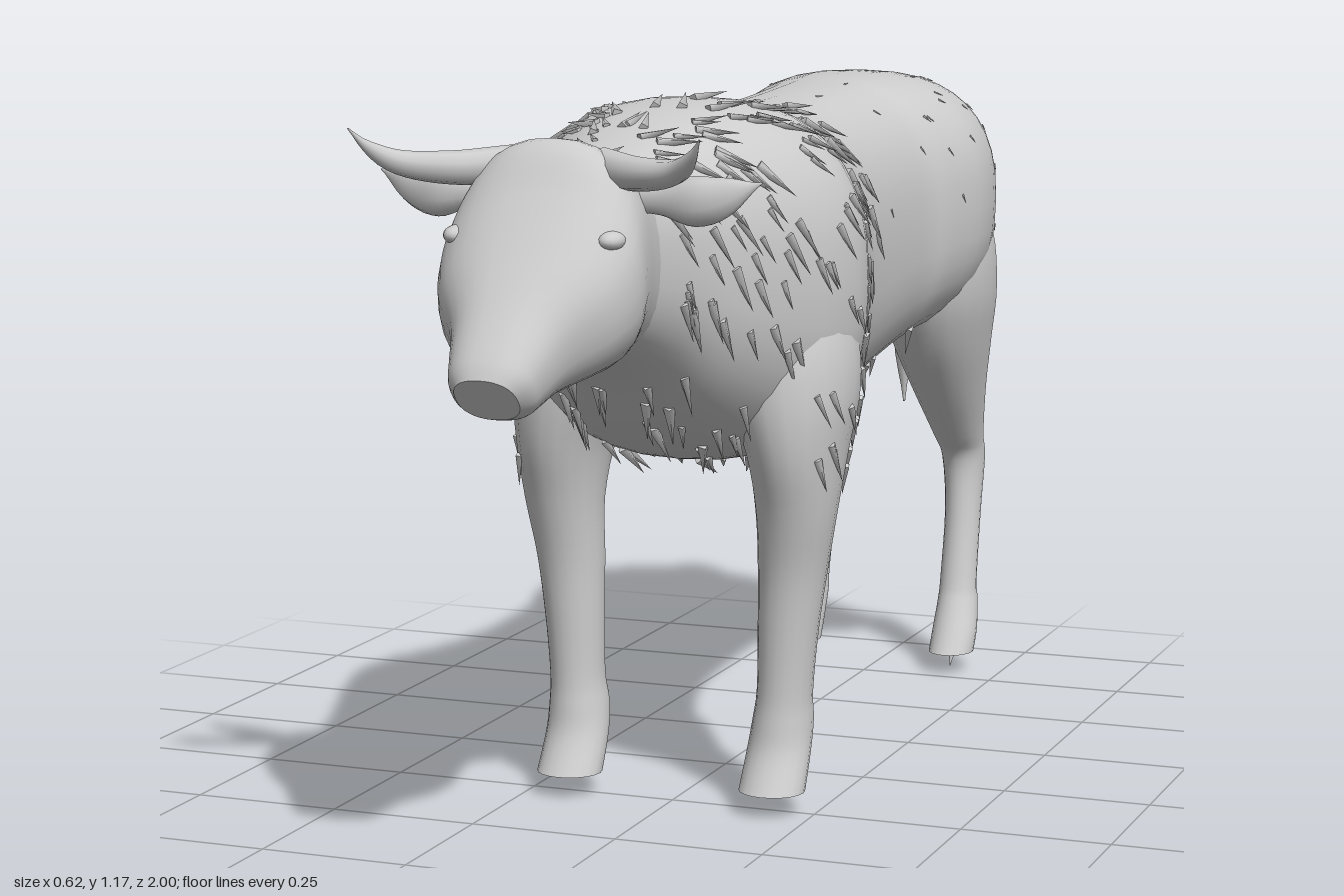
import * as THREE from 'three';
import { mergeGeometries, mergeVertices } from 'three/addons/utils/BufferGeometryUtils.js';

const hide = new THREE.MeshStandardMaterial({ color: 0xcccccc });
hide.name = 'hide grey';

// Smoothly interpolate a list of section rows at t in 0..1
function sample(rows, t) {
  const f = Math.min(Math.max(t, 0), 1) * (rows.length - 1);
  const i = Math.min(Math.floor(f), rows.length - 2), u = f - i;
  const at = k => rows[Math.min(Math.max(k, 0), rows.length - 1)];
  return at(i).map((b, k) => {
    const a = at(i - 1)[k], c = at(i + 1)[k], d = at(i + 2)[k];
    return b + 0.5 * u * (c - a + u * (2 * a - 5 * b + 4 * c - d + u * (3 * (b - c) + d - a)));
  });
}

const bulge = (v, p) => Math.sign(v) * Math.abs(v) ** p;

// Upright section row: [top z, top y, bottom z, bottom y, half width]
const upright = (rows, p) => (t, a) => {
  const [zt, yt, zb, yb, w] = sample(rows, t);
  const s = bulge(Math.sin(a), p);
  return new THREE.Vector3(w * bulge(Math.cos(a), p), (yt + yb) / 2 + s * (yt - yb) / 2, (zt + zb) / 2 + s * (zt - zb) / 2);
};

// Level section row: [y, x, z, half width, half depth], from the ground up
const level = (rows, side) => (t, a) => {
  const [y, x, z, rx, rz] = sample(rows, t);
  return new THREE.Vector3(side * x + rx * Math.cos(a), y, z - rz * Math.sin(a));
};

// Skin a surface function with rings and close both ends
function loft(surface, steps, sides) {
  const pos = [], idx = [];
  const ring = t => {
    const start = pos.length / 3;
    for (let j = 0; j < sides; j++) pos.push(...surface(t, j / sides * Math.PI * 2).toArray());
    return start;
  };
  for (let i = 0; i <= steps; i++) ring(i / steps);
  for (let i = 0; i < steps; i++) for (let j = 0; j < sides; j++) {
    const k = (j + 1) % sides, a = i * sides, b = a + sides;
    idx.push(a + j, a + k, b + k, a + j, b + k, b + j);
  }
  for (const t of [0, 1]) {
    const start = ring(t), mid = pos.length / 3, c = new THREE.Vector3();
    for (let j = 0; j < sides; j++) c.add(new THREE.Vector3().fromArray(pos, (start + j) * 3));
    pos.push(...c.divideScalar(sides).toArray());
    for (let j = 0; j < sides; j++) {
      const k = (j + 1) % sides;
      idx.push(mid, start + (t ? j : k), start + (t ? k : j));
    }
  }
  const g = new THREE.BufferGeometry();
  g.setAttribute('position', new THREE.Float32BufferAttribute(pos, 3));
  g.setIndex(idx);
  g.computeVertexNormals();
  return g;
}

// Tube of changing radius, optionally flattened along an axis
function taper(points, radii, flat = [1, 1, 1]) {
  const path = new THREE.CatmullRomCurve3(points.map(p => new THREE.Vector3(...p)));
  const seg = 20, sides = 10, g = new THREE.TubeGeometry(path, seg, 1, sides);
  const p = g.attributes.position, v = new THREE.Vector3(), f = new THREE.Vector3(...flat);
  for (let n = 0; n < p.count; n++) {
    const t = Math.floor(n / (sides + 1)) / seg, c = path.getPointAt(t);
    const r = sample(radii.map(x => [x]), t)[0];
    v.fromBufferAttribute(p, n).sub(c).multiplyScalar(r).multiply(f).add(c);
    p.setXYZ(n, v.x, v.y, v.z);
  }
  g.deleteAttribute('uv');
  g.deleteAttribute('normal');
  const m = mergeVertices(g, 1e-5);
  m.computeVertexNormals();
  return m;
}

const bodyRows = [
  [-.93, 1.03, -.925, .86, .05], [-.92, 1.08, -.92, .79, .125], [-.89, 1.115, -.89, .735, .18],
  [-.80, 1.145, -.80, .69, .238], [-.67, 1.157, -.67, .67, .258], [-.55, 1.155, -.55, .655, .235],
  [-.45, 1.148, -.45, .63, .208], [-.20, 1.135, -.20, .59, .207], [-.05, 1.14, -.05, .57, .235],
  [.10, 1.16, .10, .565, .287], [.20, 1.165, .20, .57, .283], [.30, 1.155, .30, .60, .25],
  [.40, 1.135, .40, .66, .21], [.50, 1.115, .50, .735, .165], [.60, 1.10, .60, .785, .135],
  [.68, 1.095, .67, .80, .118]];
const headRows = [
  [.54, 1.07, .55, .80, .115], [.61, 1.10, .61, .79, .128], [.68, 1.132, .65, .787, .138],
  [.745, 1.137, .69, .783, .15], [.80, 1.07, .745, .783, .16], [.86, .995, .80, .78, .142],
  [.92, .922, .855, .768, .095], [.965, .868, .90, .754, .076], [.988, .838, .925, .747, .066],
  [1.0, .815, .945, .75, .05]];
const frontLegRows = [
  [.04, .18, .262, .055, .052], [.10, .18, .228, .053, .051], [.15, .182, .213, .05, .055],
  [.20, .185, .213, .046, .05], [.30, .19, .212, .05, .052], [.40, .197, .21, .057, .06],
  [.50, .205, .215, .066, .076], [.60, .203, .205, .08, .115], [.70, .188, .185, .106, .145],
  [.80, .173, .17, .106, .145], [.95, .13, .15, .09, .11]];
const hindLegRows = [
  [.04, .155, -.815, .042, .05], [.08, .155, -.838, .042, .046], [.13, .152, -.865, .038, .042],
  [.17, .15, -.875, .035, .035], [.30, .147, -.91, .034, .04], [.40, .142, -.927, .04, .053],
  [.45, .14, -.898, .046, .067], [.55, .14, -.835, .066, .105], [.65, .14, -.785, .088, .143],
  [.75, .14, -.755, .105, .165], [.86, .13, -.745, .108, .165], [.98, .10, -.75, .09, .13]];

export function createModel() {
  const model = new THREE.Group();
  const add = (name, geometry) => {
    const m = new THREE.Mesh(geometry, hide);
    m.name = name;
    model.add(m);
    return m;
  };
  const bodySurface = upright(bodyRows, .82);
  add('body', loft(bodySurface, 60, 40));
  add('head', loft(upright(headRows, .85), 40, 32));

  // One hair tuft lying back along a surface
  let seed = 7;
  const rnd = () => (seed = (seed * 16807) % 2147483647) / 2147483647;
  const tufts = [];
  const tuft = (surface, t, a, length, lean) => {
    const e = .004, p = surface(t, a);
    const n = surface(t, a + e).sub(surface(t, a - e))
      .cross(surface(t + e, a).sub(surface(t - e, a))).normalize();
    const d = new THREE.Vector3((rnd() - .5) * .3, -.8, -.4);
    d.addScaledVector(n, -d.dot(n)).normalize().addScaledVector(n, lean).normalize();
    const g = new THREE.ConeGeometry(length * .13, length, 4);
    g.translate(0, length * .42, 0);
    g.applyQuaternion(new THREE.Quaternion().setFromUnitVectors(new THREE.Vector3(0, 1, 0), d));
    tufts.push(g.translate(p.x, p.y, p.z));
  };

  // Legs, horns, ears and eyes on both sides
  for (const s of [1, -1]) {
    const side = s > 0 ? 'left' : 'right';
    const on = pts => pts.map(([x, y, z]) => [s * x, y, z]);
    const frontLeg = level(frontLegRows, s);
    add(side + 'FrontLeg', loft(frontLeg, 40, 20));
    add(side + 'HindLeg', loft(level(hindLegRows, s), 44, 20));
    add(side + 'Horn', taper(on([[.07, 1.10, .70], [.15, 1.095, .755], [.225, 1.105, .795], [.26, 1.13, .825], [.28, 1.157, .845]]),
      [.028, .027, .023, .015, .001]));
    add(side + 'Ear', taper(on([[.10, 1.05, .68], [.16, 1.05, .685], [.23, 1.052, .68], [.28, 1.068, .675], [.312, 1.08, .67]]),
      [.02, .022, .038, .027, .001], [1, 1, .55]));
    const eye = add(side + 'Eye', new THREE.SphereGeometry(1, 14, 10));
    eye.scale.set(.02, .015, .028);
    eye.position.set(s * .124, 1.0, .80);
    // Spurs of hair behind the hooves
    add(side + 'HindSpur', taper(on([[.15, .09, -.86], [.148, .05, -.855], [.145, .003, -.84]]), [.012, .01, .001]));
    add(side + 'FrontSpur', taper(on([[.18, .18, .18], [.18, .155, .165], [.18, .14, .15]]), [.015, .012, .001]));
    // Hair on the outside of the shoulder
    for (let i = 0; i < 14; i++) tuft(frontLeg, .62 + .22 * rnd(), (s > 0 ? 0 : Math.PI) + (rnd() - .5) * 2, .06, .08);
  }
  add('tail', taper([[0, 1.06, -.89], [0, 1.075, -.925], [0, 1.04, -.955], [0, .95, -.968], [0, .82, -.975], [0, .65, -.98], [0, .49, -.99]],
    [.035, .03, .024, .018, .016, .018, .002]));

  // Hair on the withers and flanks
  for (let i = 0; i < 240; i++) tuft(bodySurface, .47 + .45 * rnd(), -.4 + rnd() * (Math.PI + .8), .045 + rnd() * .035, .1);
  // Belly and chest fringe
  for (let i = 0; i < 75; i++) tuft(bodySurface, .35 + .52 * rnd(), -Math.PI / 2 + (rnd() - .5) * 1.5, .05 + rnd() * .03, .4);
  // Sparse short hair on the rump
  for (let i = 0; i < 40; i++) tuft(bodySurface, .15 + .3 * rnd(), -.2 + rnd() * (Math.PI + .4), .018, .05);
  add('furTufts', mergeGeometries(tufts));

  return model;
}
